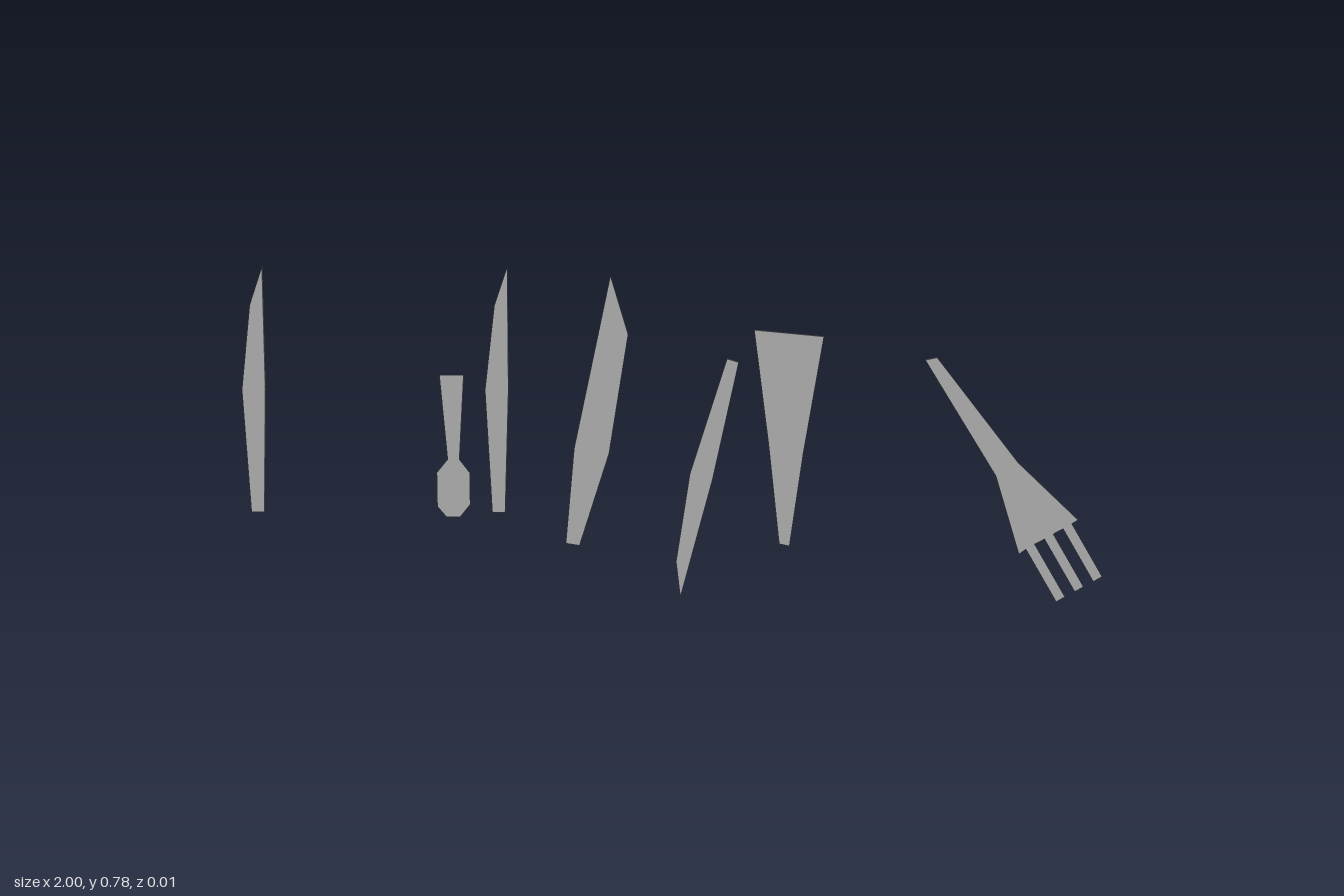
import * as THREE from 'three';

const material = new THREE.MeshStandardMaterial({ color: 0xcccccc, flatShading: true });

// Flat plate cut from an outline, filling z0..z1
function plate(name, points, z0, z1) {
  const shape = new THREE.Shape(points.map(([x, y]) => new THREE.Vector2(x, y)));
  const geometry = new THREE.ExtrudeGeometry(shape, { depth: z1 - z0, bevelEnabled: false });
  geometry.translate(0, 0, z0);
  const mesh = new THREE.Mesh(geometry, material);
  mesh.name = name;
  return mesh;
}

export function createModel() {
  const group = new THREE.Group();
  group.name = 'cutlerySet';
  const T = 0.0068;

  // Two matching table knives
  const knife = [[-0.945, 0.786], [-0.976, 0.697], [-1, 0.5], [-0.987, 0.211], [-0.957, 0.211], [-0.946, 0.5]];
  [0, 0.562].forEach((dx, i) => {
    group.add(plate('tableKnife' + (i + 1), knife.map(([x, y]) => [x + dx, y]), -T, 0));
  });

  // Spoon: tapering handle and a bowl that narrows towards its back
  const spoon = new THREE.Group();
  spoon.name = 'spoon';
  spoon.add(plate('spoonHandle', [[-0.543, 0.535], [-0.487, 0.535], [-0.5, 0.335], [-0.527, 0.335]], -0.004, 0));
  const bowl = plate('spoonBowl', [
    [-0.527, 0.337], [-0.5, 0.337], [-0.476, 0.305], [-0.476, 0.23],
    [-0.5, 0.2], [-0.532, 0.2], [-0.553, 0.225], [-0.553, 0.305],
  ], -T, 0);
  const pos = bowl.geometry.attributes.position;
  for (let i = 0; i < pos.count; i++) {
    if (pos.getZ(i) > -T / 2) continue;
    pos.setX(i, -0.514 + (pos.getX(i) + 0.514) * 0.85);
    pos.setY(i, 0.266 + (pos.getY(i) - 0.266) * 0.8);
  }
  bowl.geometry.computeVertexNormals();
  spoon.add(bowl);
  group.add(spoon);

  // Broad pointed knife
  group.add(plate('broadKnife', [
    [-0.147, 0.767], [-0.107, 0.631], [-0.152, 0.353], [-0.222, 0.134], [-0.254, 0.139], [-0.233, 0.364],
  ], 0, T));

  // Slim knife, point down
  group.add(plate('slimKnife', [
    [0.12, 0.575], [0.147, 0.567], [0.088, 0.294], [0.013, 0.01], [0.003, 0.096], [0.035, 0.305],
  ], 0, T));

  // Wedge-shaped server
  group.add(plate('cakeServer', [
    [0.182, 0.642], [0.342, 0.627], [0.297, 0.353], [0.267, 0.134], [0.243, 0.139], [0.217, 0.374],
  ], 0, T));

  // Fork: handle, flared head and three tines in one outline
  const fork = [[0.801, 0.116], [0.743, 0.302], [0.575, 0.573], [0.602, 0.579], [0.794, 0.333], [0.936, 0.198]];
  for (let i = 0; i < 3; i++) {
    const x = 0.922 - i * 0.0425, y = 0.189 - i * 0.0245;
    fork.push([x, y], [x + 0.074, y - 0.126], [x + 0.054, y - 0.138], [x - 0.02, y - 0.012]);
  }
  group.add(plate('fork', fork, 0, T));

  return group;
}
